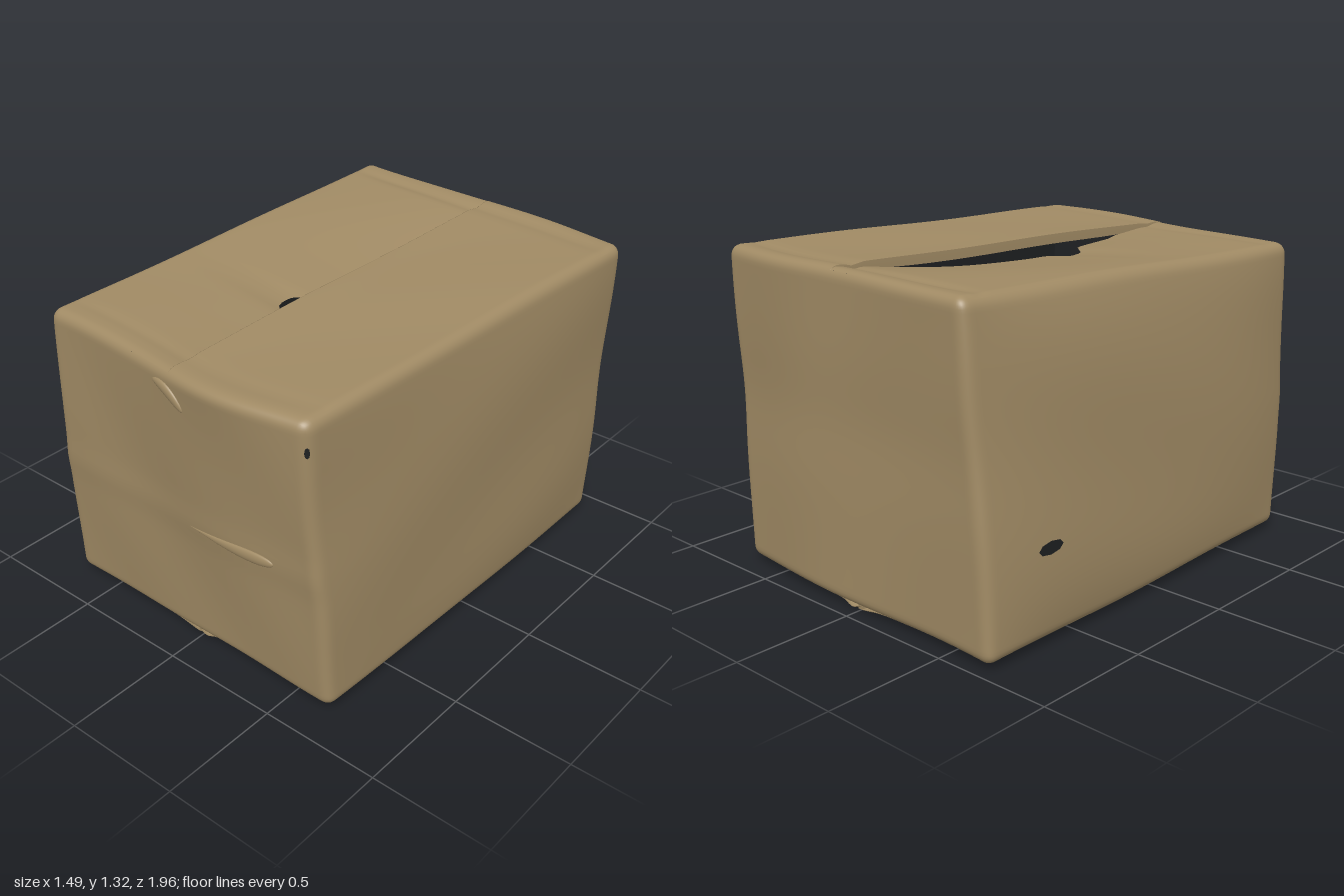
import * as THREE from 'three';

const V = (x, y, z) => new THREE.Vector3(x, y, z);
const bell = (t, c, w) => Math.exp(-(((t - c) / w) ** 2));
const HALF = V(0.7, 0.63, 0.93);   // nominal half sizes, used for rounding the edges
const RADIUS = 0.045;

// Corners of the crushed carton, indexed [top][front][right]
const CORNERS = [
  [[V(-0.725, 0.02, -0.97), V(0.71, 0.02, -0.9)], [V(-0.7, 0.03, 0.85), V(0.69, 0.03, 0.86)]],
  [[V(-0.62, 1.32, -0.995), V(0.75, 1.32, -0.9)], [V(-0.67, 1.255, 0.89), V(0.65, 1.28, 0.92)]],
];

// Maps a point of the unit cube (-1..1) to the rounded, leaning, dented carton
function carton(x, y, z) {
  const p = V(x, y, z).multiply(HALF);
  const inner = HALF.clone().subScalar(RADIUS);
  const q = p.clone().clamp(inner.clone().negate(), inner);
  const d = p.sub(q);
  if (d.length() > 1e-6) d.setLength(Math.min(d.length(), RADIUS));
  const n = q.add(d).divide(HALF);
  const [a, b, c] = [(n.x + 1) / 2, (n.y + 1) / 2, (n.z + 1) / 2];
  const out = V(0, 0, 0);
  for (const t of [0, 1]) for (const f of [0, 1]) for (const r of [0, 1])
    out.addScaledVector(CORNERS[t][f][r], (t ? b : 1 - b) * (f ? c : 1 - c) * (r ? a : 1 - a));
  // bulging sides, pushed-out front rim and a faint horizontal fold
  const front = Math.max(0, n.z) ** 2, back = Math.max(0, -n.z) ** 2;
  const belly = (1 - n.y ** 4) * (1 - n.z ** 4);
  out.x += n.x * belly * (n.x < 0 ? 0.045 : 0.022);
  out.z += front * (0.07 * b * b * bell(n.x, 0.35, 0.55) + 0.012 * (1 - n.y * n.y) + 0.005 * bell(n.y, -0.06, 0.1));
  out.z += back * (0.009 * bell(n.y, 0.1, 0.3) - 0.03 * bell(n.x, 0.4, 0.5));
  // gentle dents
  out.x += 0.004 * Math.sin(5 * n.y + 3 * n.z) * n.x;
  out.z += 0.003 * Math.sin(6 * n.x + 4 * n.y) * n.z;
  out.y += 0.003 * Math.sin(4 * n.x + 5 * n.z) * n.y;
  return out;
}

// Surface grid, u to the right and v up as seen from outside, denser at the edges
function grid(fn, n = 52) {
  const pos = [], idx = [];
  const ease = (i) => Math.sin((i / n - 0.5) * Math.PI);
  for (let j = 0; j <= n; j++) for (let i = 0; i <= n; i++) pos.push(...fn(ease(i), ease(j), i).toArray());
  for (let j = 0; j < n; j++) for (let i = 0; i < n; i++) {
    const a = j * (n + 1) + i, c = a + n + 1;
    idx.push(a, a + 1, c + 1, a, c + 1, c);
  }
  const g = new THREE.BufferGeometry();
  g.setAttribute('position', new THREE.Float32BufferAttribute(pos, 3));
  g.setIndex(idx);
  g.computeVertexNormals();
  return g;
}

// Moves every vertex of a geometry by a rule
function reshape(g, rule) {
  const p = g.attributes.position, v = V(0, 0, 0);
  for (let i = 0; i < p.count; i++) {
    v.fromBufferAttribute(p, i);
    p.setXYZ(i, ...rule(v).toArray());
  }
  g.computeVertexNormals();
  return g;
}

export function createModel() {
  const model = new THREE.Group();
  model.name = 'cardboardBox';
  const card = new THREE.MeshStandardMaterial({ color: 0xa08a64, side: THREE.DoubleSide });
  card.name = 'cardboard';
  const dark = new THREE.MeshStandardMaterial({ color: 0x1e2022, side: THREE.DoubleSide });
  dark.name = 'dark hole';
  const inside = new THREE.MeshStandardMaterial({ color: 0x1e2022, side: THREE.BackSide });
  inside.name = 'dark interior';
  const add = (name, g, m = card) => {
    const mesh = new THREE.Mesh(g, m);
    mesh.name = name;
    model.add(mesh);
    return mesh;
  };

  // Four walls
  add('frontWall', grid((u, v) => carton(u, v, 1)));
  add('backWall', grid((u, v) => carton(-u, v, -1)));
  add('leftWall', grid((u, v) => carton(1, v, -u)));
  add('rightWall', grid((u, v) => carton(-1, v, u)));

  // Top flaps: one stays level, the other sags and leaves a torn gap
  const seam = (z) => 0.033 + 0.018 * z;
  const gap = (z) => {
    const ends = THREE.MathUtils.smoothstep(z, -0.76, 0.0) * (1 - THREE.MathUtils.smoothstep(z, 0.58, 0.67));
    return ends * (0.035 + 0.045 * bell(z, 0.15, 0.2)) + 0.115 * Math.exp(-(((z - 0.26) / 0.085) ** 4));
  };
  const folds = (z) => -0.01 * bell(z, -0.88, 0.03) - 0.005 * bell(z, 0.88, 0.03);
  add('topFlapLeft', grid((u, v, i) => {
    const s = (u + 1) / 2, z = -v;
    const p = carton(seam(z) + (1 - seam(z)) * s, 1, z);
    p.y += folds(z) * (1 - s ** 6) + 0.004 * bell(s, 0, 0.15) * (1 - z ** 4);
    if (i === 0) p.y -= 0.04 * (1 - z ** 6);   // cut edge
    return p;
  }));
  add('topFlapRight', grid((u, v) => {
    const s = (1 - u) / 2, z = -v;
    const edge = seam(z) - gap(z);
    const p = carton(edge - (1 + edge) * s, 1, z);
    p.y += folds(z) * (1 - s ** 6) - 0.07 * (1 - s) ** 1.6 * (1 - z * z) ** 1.2;
    return p;
  }, 100));

  // Bottom flaps, meeting with a small lip that is ragged at both ends
  const ragged = (z) => bell(z, 1, 0.06) + bell(z, -1, 0.06);
  add('bottomFlapLeft', grid((u, v) => {
    const s = (u + 1) / 2;
    const p = carton(s, -1, v);
    p.y -= 0.02 * bell(s, 0.06, 0.05) * ragged(v);
    return p;
  }));
  add('bottomFlapRight', grid((u, v, i) => {
    const s = (1 - u) / 2;
    const p = carton(0.01 - 1.01 * s, -1, v);
    p.y -= bell(s, 0, 0.12) * (0.013 + 0.004 * ragged(v));
    if (i === 52) p.y += 0.03;
    return p;
  }));

  // Dark lining behind the gap
  add('lining', reshape(new THREE.BoxGeometry(1.88, 1.84, 1.9, 8, 8, 8), (v) => carton(v.x, v.y, v.z)), inside);

  // Raised crease on the front, swelling towards its blunt end
  const frontPoint = (x, y) => carton(x / 0.68, (y - 0.64) / 0.62, 1);
  add('frontCrease', reshape(new THREE.SphereGeometry(1, 40, 20), (v) => {
    const t = (v.x + 1) / 2;
    const x = 0.05 + 0.42 * t ** 0.8;
    const k = 0.2 + 0.8 * t;
    return V(x, 0.6 + 0.02 * t + 0.035 * k * v.y, frontPoint(x, 0.61).z + 0.018 * k * v.z);
  }));

  // Curled leaf-shaped tear near the top of the front
  add('frontTear', reshape(new THREE.SphereGeometry(1, 32, 16), (v) => {
    const x = 0.02 + 0.08 * v.x;
    const y = 1.185 - 0.035 * v.x - 0.02 * v.x * v.x + 0.027 * (1 + 0.3 * v.x) * v.y;
    return V(x, y, frontPoint(x, y).z + 0.014 * v.z);
  }));

  // Small punctures: low on one side, and at a front corner
  const hole = (name, point, w, h, turn) => {
    const outward = V(Math.sin(turn), 0, Math.cos(turn)).multiplyScalar(0.006);
    add(name, new THREE.CircleGeometry(1, 8).scale(w, h, 1).rotateY(turn), dark).position.copy(point.add(outward));
  };
  hole('sideHole', carton(-1, -0.43, -0.67), 0.065, 0.026, -Math.PI / 2);
  hole('cornerHole', carton(1, 0.82, 1), 0.01, 0.022, Math.PI / 4);
  return model;
}
